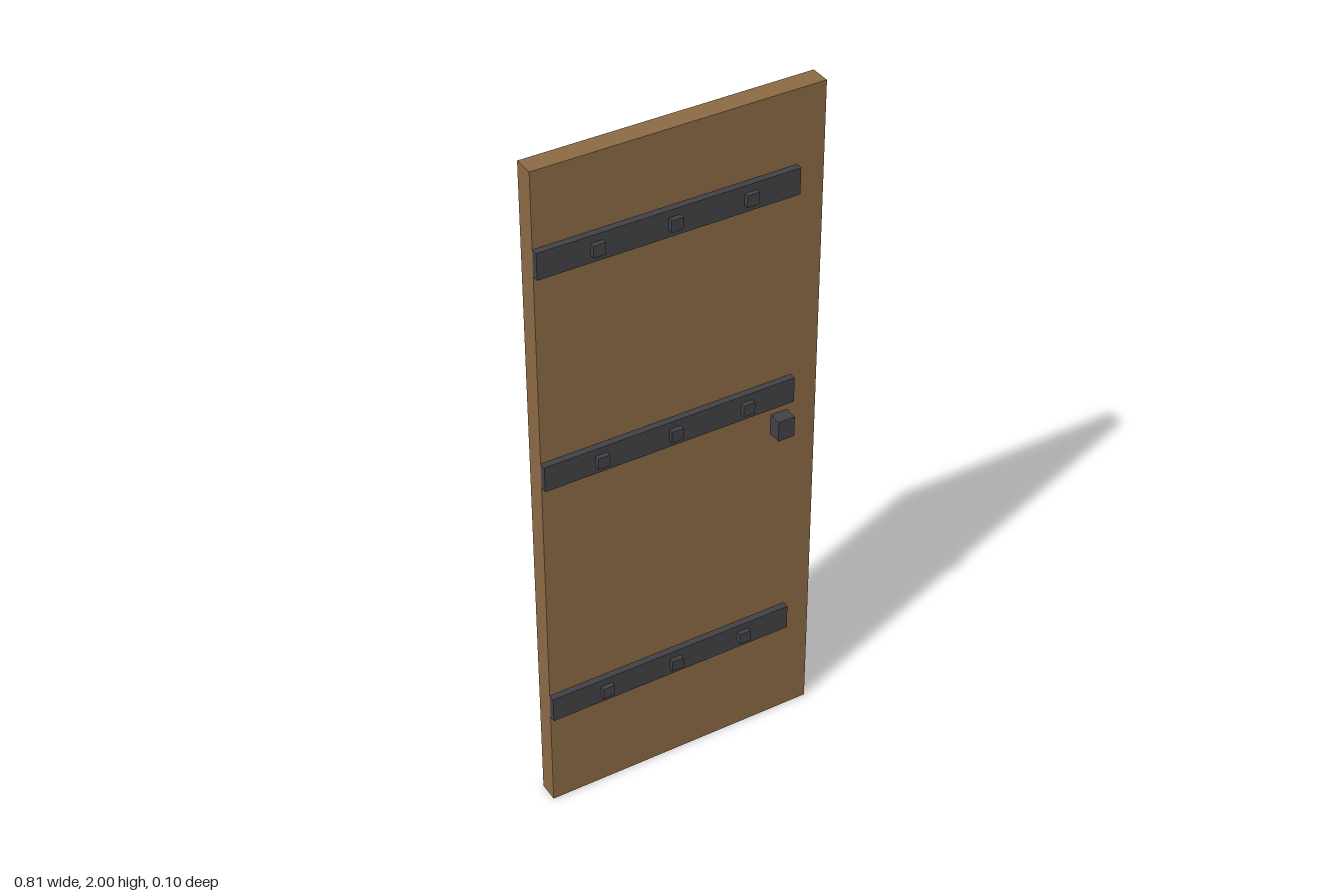
import * as THREE from 'three';

const wood = new THREE.MeshStandardMaterial({ name: 'wood', color: 0x8c6a45 });
const iron = new THREE.MeshStandardMaterial({ name: 'iron', color: 0x424246 });

// Box given by its extents along each axis
function block(name, material, [x0, x1], [y0, y1], [z0, z1]) {
  const mesh = new THREE.Mesh(new THREE.BoxGeometry(x1 - x0, y1 - y0, z1 - z0), material);
  mesh.position.set((x0 + x1) / 2, (y0 + y1) / 2, (z0 + z1) / 2);
  mesh.name = name;
  return mesh;
}

export function createModel() {
  const door = new THREE.Group();
  door.name = 'door';
  const left = -0.407, face = 0.009, strapFace = 0.028;

  // Door slab
  door.add(block('slab', wood, [left, -left], [0, 2], [-0.049, face]));

  // Iron straps, each with three square studs
  for (const y of [0.342, 1.118, 1.75]) {
    const strap = new THREE.Group();
    strap.name = 'strap';
    strap.add(block('strapBar', iron, [left, 0.328], [y - 0.038, y + 0.038], [face, strapFace]));
    for (const x of [-0.245, -0.031, 0.183]) {
      strap.add(block('stud', iron, [x - 0.017, x + 0.017], [y - 0.017, y + 0.017], [strapFace, 0.042]));
    }
    door.add(strap);
  }

  // Handle block
  door.add(block('handle', iron, [0.27, 0.319], [0.985, 1.047], [face, 0.048]));
  return door;
}
